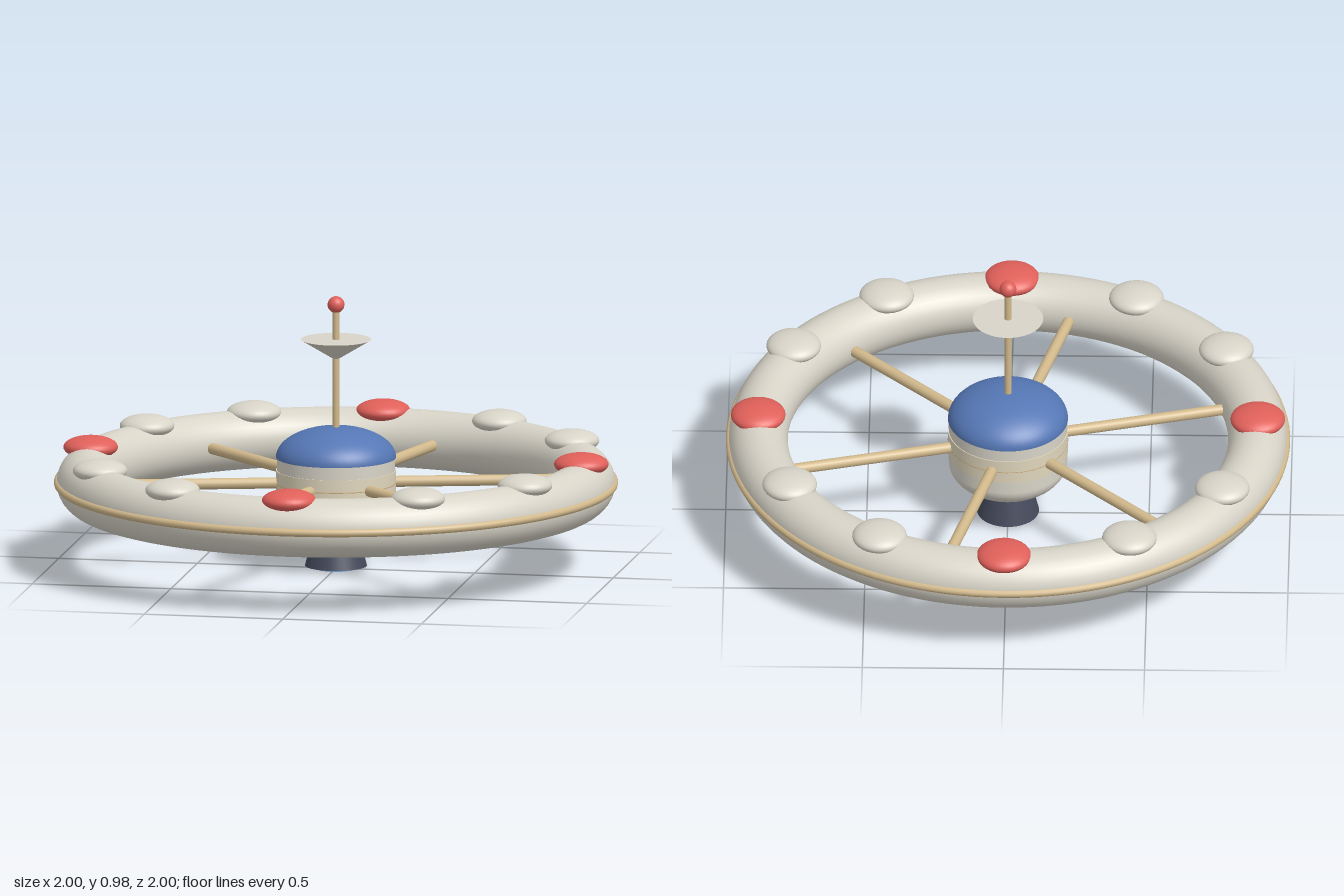
import * as THREE from 'three';

const mat = (color) => new THREE.MeshStandardMaterial({ color });
const hull = mat(0xd8d4c8), red = mat(0xe0605a), blue = mat(0x5577b5);
const tan = mat(0xd2b98c), cream = mat(0xe0d6bc), dark = mat(0x454a5c), glow = mat(0x6f9fd8);

const MID = 0.31;        // height of the wheel plane
const RING = 0.885;      // radius of the ring's centre line

function add(parent, name, geometry, material, y = 0) {
  const mesh = new THREE.Mesh(geometry, material);
  mesh.name = name;
  mesh.position.y = y;
  parent.add(mesh);
  return mesh;
}

const flatTorus = (radius, tube, sides, segments) =>
  new THREE.TorusGeometry(radius, tube, sides, segments).rotateX(Math.PI / 2);

const dome = (radius, height) =>
  new THREE.SphereGeometry(radius, 48, 16, 0, Math.PI * 2, 0, Math.PI / 2).scale(1, height / radius, 1);

export function createModel() {
  const model = new THREE.Group();
  model.name = 'spaceStation';

  // Habitat ring and its outer trim
  add(model, 'habitatRing', flatTorus(RING, 0.105, 32, 120), hull, MID);
  add(model, 'ringTrim', flatTorus(0.985, 0.015, 12, 120), tan, MID);

  // Flattened pods on top of the ring, every third one red
  const podGeometry = new THREE.SphereGeometry(0.097, 32, 20).scale(1, 0.41, 1);
  for (let i = 0; i < 12; i++) {
    const a = (i * Math.PI) / 6;
    const pod = add(model, i % 3 ? 'pod' : 'redPod', podGeometry, i % 3 ? hull : red, 0.406);
    pod.position.x = Math.cos(a) * RING;
    pod.position.z = Math.sin(a) * RING;
    pod.rotation.y = -a;
  }

  // Six spokes from hub to ring
  const spokeGeometry = new THREE.CylinderGeometry(0.02, 0.02, 0.7, 16).rotateZ(Math.PI / 2).translate(0.47, 0, 0);
  for (let i = 0; i < 6; i++) {
    const spoke = add(model, 'spoke', spokeGeometry, tan, MID);
    spoke.rotation.y = -Math.PI / 4 - (i * Math.PI) / 3;
  }

  // Central hub with a waist band, blue roof and rounded underside
  const hub = new THREE.Group();
  hub.name = 'hub';
  model.add(hub);
  add(hub, 'hubBody', new THREE.CylinderGeometry(0.21, 0.21, 0.18, 48), hull, MID);
  add(hub, 'hubBand', new THREE.CylinderGeometry(0.213, 0.213, 0.09, 48), cream, MID);
  add(hub, 'hubSeam', flatTorus(0.208, 0.006, 8, 48), tan, MID);
  add(hub, 'hubRoof', dome(0.213, 0.11), blue, 0.4);
  add(hub, 'hubUnderside', dome(0.21, 0.11).rotateX(Math.PI), hull, 0.22);

  // Engine nozzle and its glowing exit
  add(model, 'nozzle', new THREE.CylinderGeometry(0.08, 0.11, 0.12, 40), dark, 0.07);
  add(model, 'nozzleGlow', new THREE.CylinderGeometry(0.073, 0.073, 0.03, 40), glow, 0.015);

  // Antenna mast, dish and beacon
  add(model, 'mast', new THREE.CylinderGeometry(0.013, 0.013, 0.45, 16), tan, 0.715);
  add(model, 'dish', new THREE.CylinderGeometry(0.125, 0.01, 0.07, 40), hull, 0.79);
  add(model, 'beacon', new THREE.SphereGeometry(0.03, 24, 16), red, 0.95);

  return model;
}
